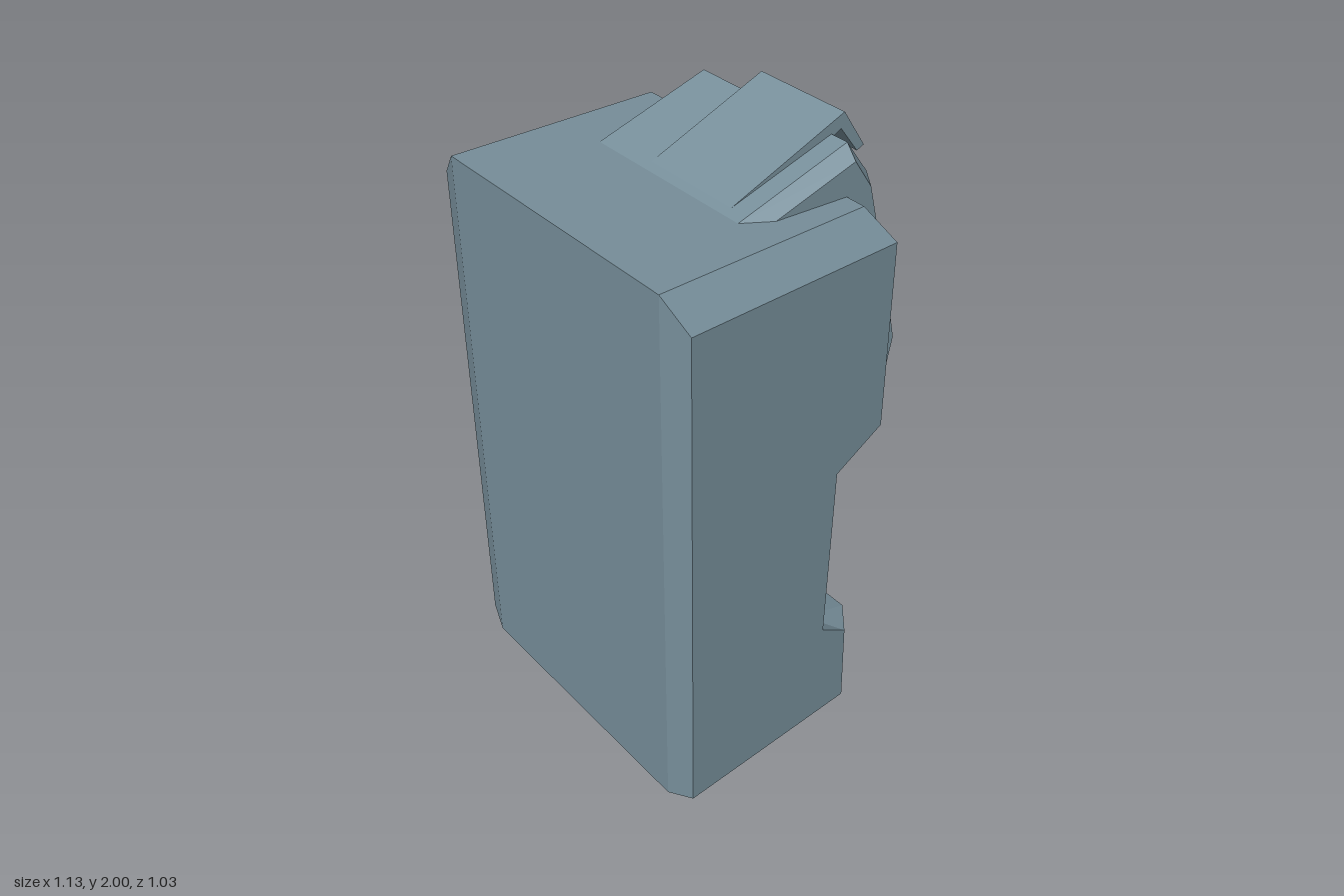
import * as THREE from 'three';

const casing = new THREE.MeshStandardMaterial({ color: 0x78909c, flatShading: true });
casing.name = 'blue grey casing';
const orange = new THREE.MeshStandardMaterial({ color: 0xe64a19, flatShading: true });
orange.name = 'orange button';
const teal = new THREE.MeshStandardMaterial({ color: 0x0097a7, flatShading: true });
teal.name = 'teal button';

// Joins side profiles along x. Each section is { x, pts: [z, y, ownX?] }, lowest x first.
function loft(sections) {
  const rings = sections.map(({ x, pts }) => pts.map(([z, y, own]) => [own ?? x, y, z]));
  const n = rings[0].length;
  const out = [];
  for (let i = 0; i + 1 < rings.length; i++) {
    for (let j = 0; j < n; j++) {
      const k = (j + 1) % n;
      const a = rings[i][j], b = rings[i][k], c = rings[i + 1][k], d = rings[i + 1][j];
      out.push(...a, ...d, ...c, ...a, ...c, ...b);
    }
  }
  const cap = (ring, flip) => {
    const flat = ring.map(([, y, z]) => new THREE.Vector2(z, y));
    for (const [a, b, c] of THREE.ShapeUtils.triangulateShape(flat, [])) {
      out.push(...ring[a], ...ring[flip ? c : b], ...ring[flip ? b : c]);
    }
  };
  cap(rings[0], false);
  cap(rings[rings.length - 1], true);
  const geo = new THREE.BufferGeometry();
  geo.setAttribute('position', new THREE.Float32BufferAttribute(out, 3));
  geo.computeVertexNormals();
  return geo;
}

function rect(Type, x0, y0, x1, y1) {
  const s = new Type();
  s.moveTo(x0, y0);
  s.lineTo(x1, y0);
  s.lineTo(x1, y1);
  s.lineTo(x0, y1);
  s.closePath();
  return s;
}

export function createModel() {
  const model = new THREE.Group();
  model.name = 'consoleCabinet';
  const add = (name, geo, mat = casing, parent = model) => {
    const mesh = new THREE.Mesh(geo, mat);
    mesh.name = name;
    parent.add(mesh);
    return mesh;
  };

  // Cabinet: chamfered sides, a waist recess and a slight skew in plan
  const inner = [[0.515, 0.1], [0.515, 1.87], [-0.21, 1.82], [-0.31, 1.08],
    [-0.07, 0.98], [-0.06, 0.44], [-0.25, 0.36], [-0.25, 0.05]];
  const outer = [[0.485, 0.125], [0.485, 1.78], [-0.26, 1.73], [-0.26, 1.13],
    [-0.08, 1.05], [-0.065, 0.445], [-0.17, 0.37], [-0.18, 0.075]];
  const skew = (x, pts) => ({ x, pts: pts.map(([z, y]) => [z, y, x + 0.08 * (z - 0.14)]) });
  add('cabinet', loft([skew(-0.533, outer), skew(-0.448, inner), skew(0.448, inner), skew(0.533, outer)]));

  // Pillar in the waist recess, chamfered on one side
  const pillar = (z) => [[0, 0.3], [0, 1.07], [z, 1.07], [z, 0.3]];
  add('pillar', loft([{ x: -0.14, pts: pillar(-0.19) }, { x: 0.36, pts: pillar(-0.19) },
    { x: 0.41, pts: pillar(-0.13) }]));

  // Small hatch beside the pillar
  add('hatch', loft([
    { x: -0.43, pts: [[-0.05, 0.53], [-0.05, 0.85], [-0.08, 0.83, -0.41], [-0.095, 0.55]] },
    { x: -0.2, pts: [[-0.05, 0.52], [-0.05, 0.86], [-0.08, 0.84, -0.21], [-0.085, 0.53]] },
  ]));

  // Flaps at the foot of the cabinet
  add('narrowFlap', loft([
    { x: -0.48, pts: [[-0.2, 0], [-0.2, 0.28, -0.39], [-0.285, 0.3, -0.39], [-0.33, 0.07, -0.45], [-0.315, 0.02]] },
    { x: -0.165, pts: [[-0.2, 0.04], [-0.2, 0.28, -0.2], [-0.285, 0.3, -0.2], [-0.325, 0.08], [-0.31, 0.04]] },
  ]));
  add('wideFlap', loft([
    { x: -0.15, pts: [[-0.19, 0.005], [-0.2, 0.22], [-0.265, 0.22], [-0.31, 0.06], [-0.29, 0.01]] },
    { x: 0.36, pts: [[-0.2, 0.045, 0.29], [-0.2, 0.23], [-0.265, 0.23], [-0.29, 0.12], [-0.26, 0.05, 0.3]] },
  ]));

  // Console head; the notch in its face is filled by the screen panel
  const notched = [[0, 1.1], [0.14, 1.84], [-0.245, 1.95], [-0.325, 1.84], [-0.277, 1.828],
    [-0.422, 1.267], [-0.47, 1.28], [-0.44, 1.15], [-0.28, 1.08]];
  const full = notched.map((p) => [...p]);
  full[4] = [-0.36, 1.705];
  full[5] = [-0.43, 1.434];
  const inset = [[0, 1.14], [0.1, 1.82], [-0.235, 1.915], [-0.3, 1.82], [-0.335, 1.69],
    [-0.405, 1.43], [-0.44, 1.28], [-0.42, 1.18], [-0.28, 1.12]];
  add('consoleHead', loft([{ x: -0.275, pts: notched }, { x: 0.31, pts: notched },
    { x: 0.31, pts: full }, { x: 0.355, pts: inset }]));

  // Visor over the screen
  const visor = [[0.13, 1.84], [-0.29, 2], [-0.37, 1.88], [-0.345, 1.87], [-0.28, 1.955], [-0.18, 1.9]];
  add('visor', loft([{ x: -0.08, pts: visor }, { x: 0.25, pts: visor }]));

  // Sloping face frame: local z points out of the face, local x is mirrored
  const face = new THREE.Group();
  face.name = 'consoleFace';
  face.position.set(0, 1.28, -0.47);
  face.quaternion.setFromRotationMatrix(new THREE.Matrix4().makeBasis(
    new THREE.Vector3(-1, 0, 0), new THREE.Vector3(0, 0.968, 0.251), new THREE.Vector3(0, 0.251, -0.968)));
  model.add(face);

  const panel = rect(THREE.Shape, -0.31, 0, 0.275, 0.578);
  panel.holes.push(rect(THREE.Path, -0.275, 0.09, 0.105, 0.54));
  add('screenPanel', new THREE.ExtrudeGeometry(panel, { depth: 0.05, bevelEnabled: false }), casing, face)
    .position.z = -0.05;

  // Sloped surround of the screen and the screen itself
  const rim = [[-0.275, 0.09], [0.105, 0.09], [0.105, 0.54], [-0.275, 0.54]];
  const glass = [[-0.24, 0.135], [0.075, 0.135], [0.075, 0.505], [-0.24, 0.505]];
  const pos = [];
  for (let i = 0; i < 4; i++) {
    const k = (i + 1) % 4;
    const a = [...rim[i], 0], b = [...rim[k], 0], c = [...glass[k], -0.042], d = [...glass[i], -0.042];
    pos.push(...a, ...b, ...c, ...a, ...c, ...d);
  }
  const surround = new THREE.BufferGeometry();
  surround.setAttribute('position', new THREE.Float32BufferAttribute(pos, 3));
  surround.computeVertexNormals();
  add('screenSurround', surround, casing, face);
  add('screen', new THREE.PlaneGeometry(0.315, 0.37), casing, face).position.set(-0.0825, 0.32, -0.042);

  // Controls on the face
  const dial = add('diamondDial', new THREE.OctahedronGeometry(1), casing, face);
  dial.scale.set(0.05, 0.13, 0.035);
  dial.position.set(0.185, 0.38, 0);
  const button = new THREE.CylinderGeometry(0.043, 0.066, 0.06, 4);
  button.rotateY(Math.PI / 4);
  button.rotateX(Math.PI / 2);
  add('orangeButton', button, orange, face).position.set(0.185, 0.215, 0.02);

  // Row of knobs on the lower lip
  const knobs = [['tealButton', -0.15, 0.031, 6, teal], ['smallKnob', 0.108, 0.032, 5, casing],
    ['largeKnob', 0.213, 0.049, 5, casing]];
  for (const [name, x, r, sides, mat] of knobs) {
    const geo = new THREE.CylinderGeometry(r * 0.85, r, 0.07, sides);
    geo.rotateX(-Math.PI / 2 - 0.22);
    add(name, geo, mat).position.set(x, 1.24, -0.475);
  }
  return model;
}
